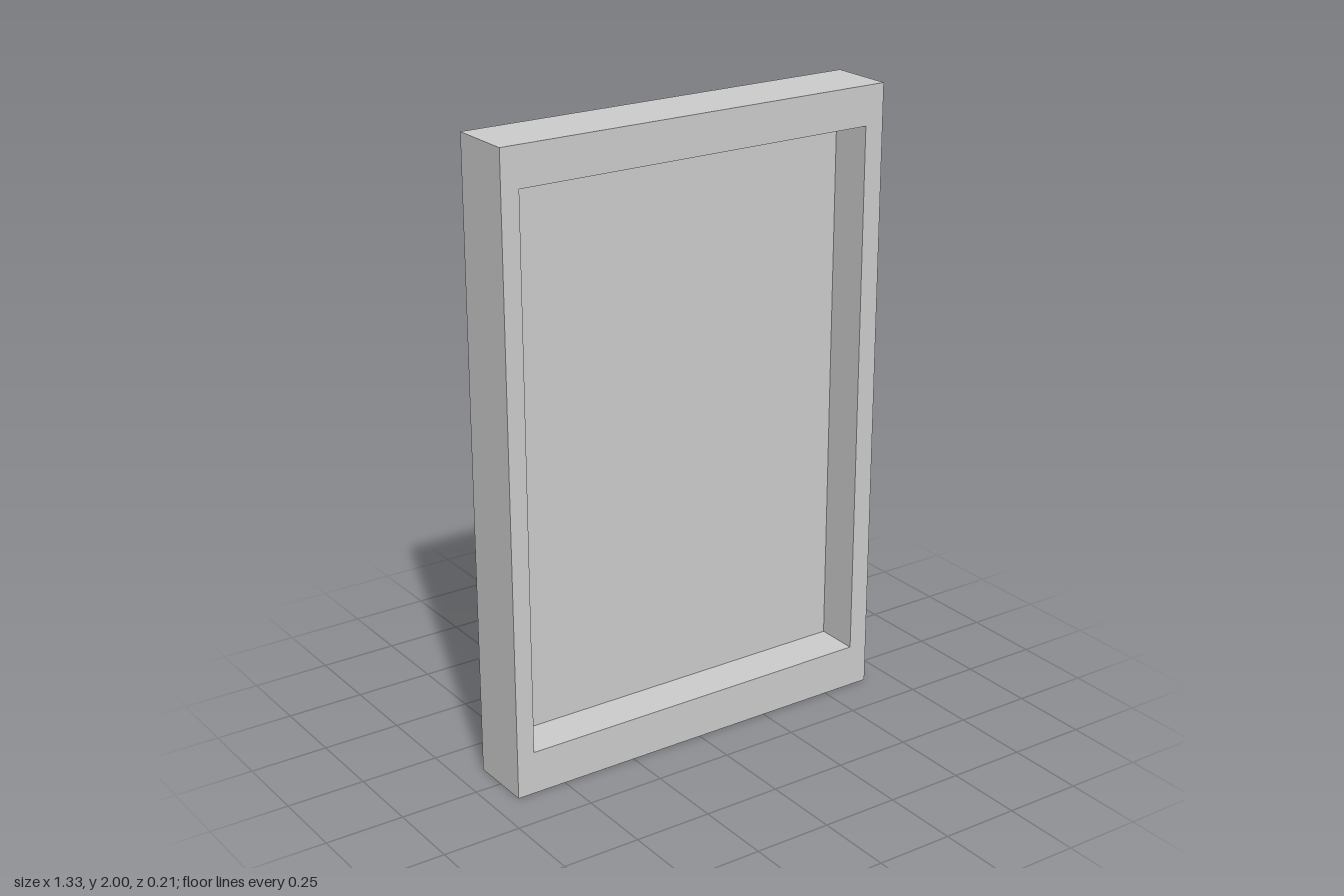
import * as THREE from 'three';

const W = 1.328, H = 2, D = 0.21;                              // outer size
const L = -0.606, R = 0.6, B = 0.138, T = 1.876;               // opening edges
const RECESS = 0.14;                                           // depth of the opening

function rectangle(Path, x0, y0, x1, y1) {
  const p = new Path();
  p.moveTo(x0, y0);
  p.lineTo(x1, y0);
  p.lineTo(x1, y1);
  p.lineTo(x0, y1);
  p.closePath();
  return p;
}

export function createModel() {
  const group = new THREE.Group();
  group.name = 'shallowTray';
  const material = new THREE.MeshStandardMaterial({ color: 0xcccccc, flatShading: true });

  // Rim around the opening
  const outline = rectangle(THREE.Shape, -W / 2, 0, W / 2, H);
  outline.holes.push(rectangle(THREE.Path, L, B, R, T));
  const frame = new THREE.Mesh(
    new THREE.ExtrudeGeometry(outline, { depth: RECESS, bevelEnabled: false }), material);
  frame.name = 'frame';
  frame.position.z = D / 2 - RECESS;
  group.add(frame);

  // Solid back that closes the opening
  const thickness = D - RECESS;
  const back = new THREE.Mesh(new THREE.BoxGeometry(W, H, thickness), material);
  back.name = 'backPanel';
  back.position.set(0, H / 2, -D / 2 + thickness / 2);
  group.add(back);

  return group;
}
